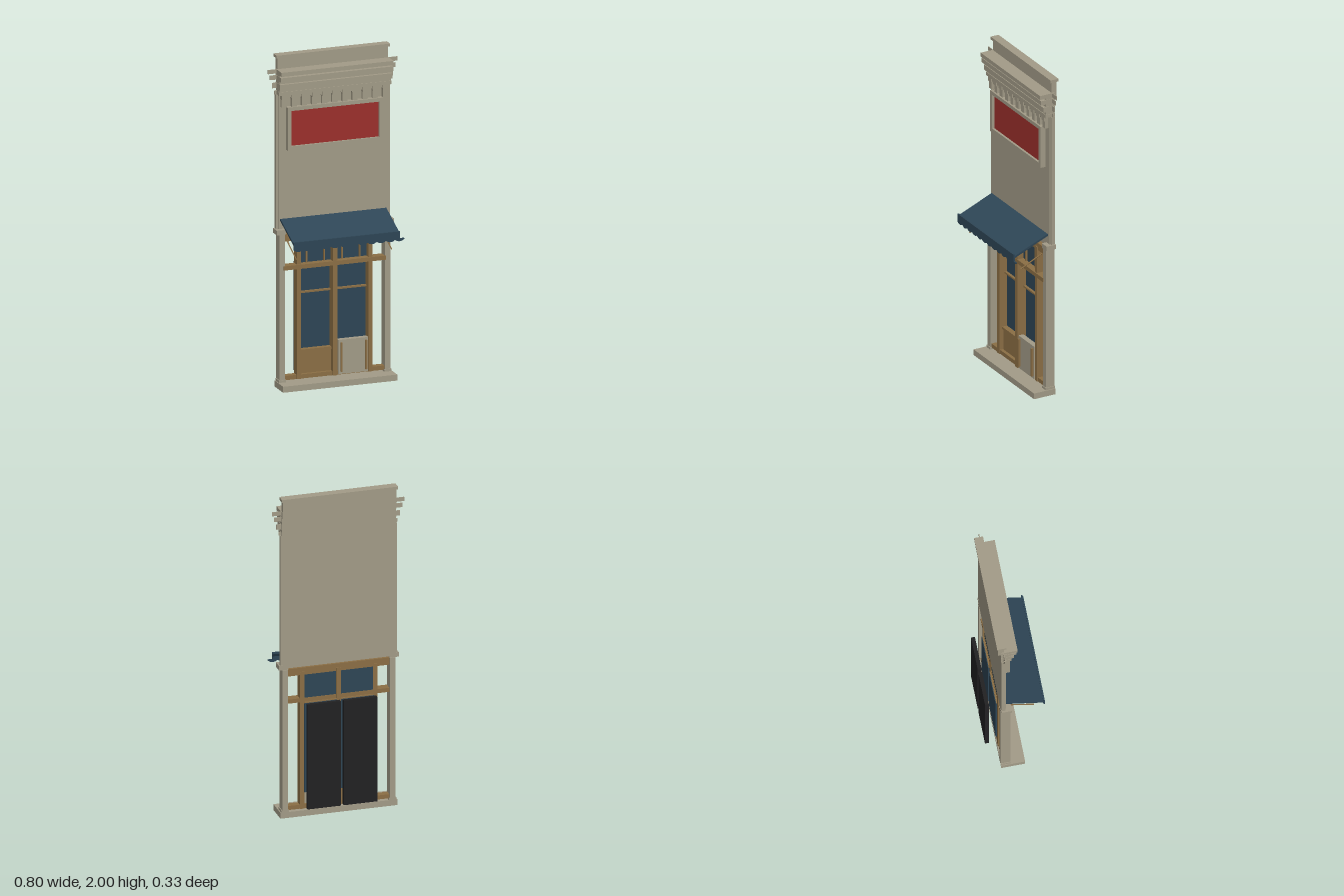
import * as THREE from 'three';

export function createModel() {
  const root = new THREE.Group();
  root.name = 'shopfront';
  const mat = (name, color) => {
    const m = new THREE.MeshStandardMaterial({ color, side: THREE.DoubleSide });
    m.name = name;
    return m;
  };
  const stone = mat('stone', 0xa39c88);
  const blue = mat('slate blue', 0x2e4656);
  const wood = mat('wood', 0x8c6f45);
  const red = mat('sign red', 0x9c302c);
  const black = mat('black', 0x222123);

  const add = (name, geo, m) => {
    const mesh = new THREE.Mesh(geo, m);
    mesh.name = name;
    root.add(mesh);
    return mesh;
  };
  // Box given by its limits on each axis
  const box = (name, m, x0, x1, y0, y1, z0, z1) => {
    const mesh = add(name, new THREE.BoxGeometry(x1 - x0, y1 - y0, z1 - z0), m);
    mesh.position.set((x0 + x1) / 2, (y0 + y1) / 2, (z0 + z1) / 2);
    return mesh;
  };
  // The same box on both sides of the centre line
  const pair = (name, m, x0, x1, ...rest) => {
    box(name + 'Left', m, x0, x1, ...rest);
    box(name + 'Right', m, -x1, -x0, ...rest);
  };
  const extrude = (name, m, shape, z, depth) => {
    const mesh = add(name, new THREE.ExtrudeGeometry(shape, { depth, bevelEnabled: false, curveSegments: 5 }), m);
    mesh.position.z = z;
    return mesh;
  };
  const rect = (C, x0, x1, y0, y1) => {
    const p = new C();
    p.moveTo(x0, y0);
    p.lineTo(x1, y0);
    p.lineTo(x1, y1);
    p.lineTo(x0, y1);
    p.closePath();
    return p;
  };

  // Base, piers and upper wall
  box('step', stone, -0.353, 0.353, 0, 0.036, -0.098, 0.043);
  pair('pier', stone, 0.308, 0.342, 0.036, 0.925, -0.1, -0.042);
  pair('pierFoot', stone, 0.303, 0.347, 0.036, 0.05, -0.1, -0.038);
  pair('pierCapital', stone, 0.305, 0.362, 0.927, 0.955, -0.098, -0.036);
  box('upperWall', stone, -0.34, 0.34, 0.935, 1.885, -0.098, -0.066);
  pair('wallEdge', stone, 0.34, 0.352, 0.955, 1.765, -0.096, -0.072);

  // Parapet with its cap
  box('parapet', stone, -0.342, 0.342, 1.875, 1.985, -0.114, -0.08);
  box('parapetCap', stone, -0.351, 0.351, 1.983, 2, -0.121, -0.068);

  // Stepped cornice with thin profiles at the ends: y0, y1, front z, reach in x
  const layers = [
    [1.89, 1.915, 0, 0.4],
    [1.853, 1.88, -0.007, 0.388],
    [1.803, 1.835, -0.022, 0.374],
    [1.765, 1.786, -0.036, 0.36],
  ];
  for (const [y0, y1, z, reach] of layers) {
    box('corniceMoulding', stone, -0.347, 0.347, y0, y1, -0.098, z);
    pair('corniceReturn', stone, 0.345, reach, y0, y1, -0.084, -0.08);
  }
  box('corniceCore', stone, -0.345, 0.345, 1.775, 1.9, -0.098, -0.04);

  // Corbel table: a strip with arches cut from its lower edge
  const count = 10, pitch = 0.0625, half = 0.016;
  const arches = new THREE.Shape();
  const left = -pitch * count / 2;
  arches.moveTo(left - half, 1.775);
  arches.lineTo(left - half, 1.69);
  for (let i = 0; i < count; i++) {
    const a = left + i * pitch + half, b = left + (i + 1) * pitch - half;
    arches.lineTo(a, 1.69);
    arches.lineTo(a, 1.735);
    arches.absarc((a + b) / 2, 1.735, (b - a) / 2, Math.PI, 0, true);
    arches.lineTo(b, 1.69);
  }
  arches.lineTo(-left + half, 1.69);
  arches.lineTo(-left + half, 1.775);
  arches.closePath();
  extrude('corbelArches', stone, arches, -0.067, 0.022);
  for (let i = 0; i <= count; i++) {
    const x = left + i * pitch;
    box('corbelBlock', stone, x - 0.017, x + 0.017, 1.738, 1.768, -0.066, -0.038);
  }

  // Framed sign
  const frame = rect(THREE.Shape, -0.295, 0.295, 1.43, 1.69);
  frame.holes.push(rect(THREE.Path, -0.272, 0.272, 1.455, 1.668));
  extrude('signFrame', stone, frame, -0.067, 0.033);
  box('signPanel', red, -0.272, 0.272, 1.455, 1.668, -0.056, -0.048);

  // Awning: a sloping sheet, a scalloped valance and two stays
  const run = 0.222, drop = 0.092;
  const sheet = add('awningSheet', new THREE.BoxGeometry(0.655, 0.012, Math.hypot(run, drop)), blue);
  sheet.position.set(-0.0025, 0.964, 0.045);
  sheet.rotation.x = Math.atan2(drop, run);
  const valance = new THREE.Shape();
  const waves = 12, w = 0.68 / waves;
  valance.moveTo(-0.33, 0.935);
  valance.lineTo(-0.33, 0.887);
  for (let i = 0; i < waves; i++) {
    const x = -0.33 + i * w;
    valance.quadraticCurveTo(x + w / 2, 0.865, x + w, 0.887);
  }
  valance.lineTo(0.35, 0.893);
  valance.lineTo(0.325, 0.893);
  valance.lineTo(0.325, 0.935);
  valance.closePath();
  extrude('awningValance', blue, valance, 0.155, 0.009);
  for (const s of [-1, 1]) {
    const path = new THREE.LineCurve3(
      new THREE.Vector3(s * 0.295, 0.886, -0.045), new THREE.Vector3(s * 0.295, 0.815, 0.104));
    add('awningStay', new THREE.TubeGeometry(path, 1, 0.004, 6), wood);
  }

  // Timber frame
  pair('sidePost', wood, 0.208, 0.234, 0.045, 0.9, -0.095, -0.045);
  box('centrePost', wood, -0.014, 0.014, 0.045, 0.9, -0.095, -0.04);
  box('bottomRail', wood, -0.31, 0.31, 0.045, 0.07, -0.09, -0.05);
  box('transomRail', wood, -0.318, 0.312, 0.71, 0.735, -0.09, -0.038);
  box('headRail', wood, -0.31, 0.31, 0.88, 0.925, -0.09, -0.05);

  // Glass, glazing bars and shutters behind
  for (const s of [-1, 1]) {
    const x0 = s < 0 ? -0.21 : 0.012, x1 = x0 + 0.198;
    box('transomGlass', blue, x0, x1, 0.735, 0.885, -0.088, -0.08);
    box('windowGlass', blue, x0, x1, 0.15, 0.705, -0.104, -0.096);
    box('glazingBar', wood, x0, x1, 0.55, 0.56, -0.096, -0.08);
    box('windowTop', wood, x0, x1, 0.698, 0.71, -0.1, -0.075);
    for (const x of [0.055, 0.165]) {
      box('transomBar', wood, s * x - 0.004, s * x + 0.004, 0.735, 0.885, -0.08, -0.07);
    }
  }
  pair('shutter', black, 0.009, 0.211, 0.067, 0.72, -0.166, -0.143);

  // Lower door panels: timber on one side, a plain board with bars on the other
  box('timberPanel', wood, -0.205, -0.015, 0.07, 0.2, -0.095, -0.07);
  box('timberPanelRail', wood, -0.205, -0.015, 0.2, 0.215, -0.095, -0.062);
  box('plainBoard', stone, 0.022, 0.205, 0.05, 0.255, -0.075, -0.042);
  for (const x of [0.038, 0.19]) {
    box('boardBar', wood, x - 0.005, x + 0.005, 0.065, 0.24, -0.042, -0.03);
  }
  return root;
}
